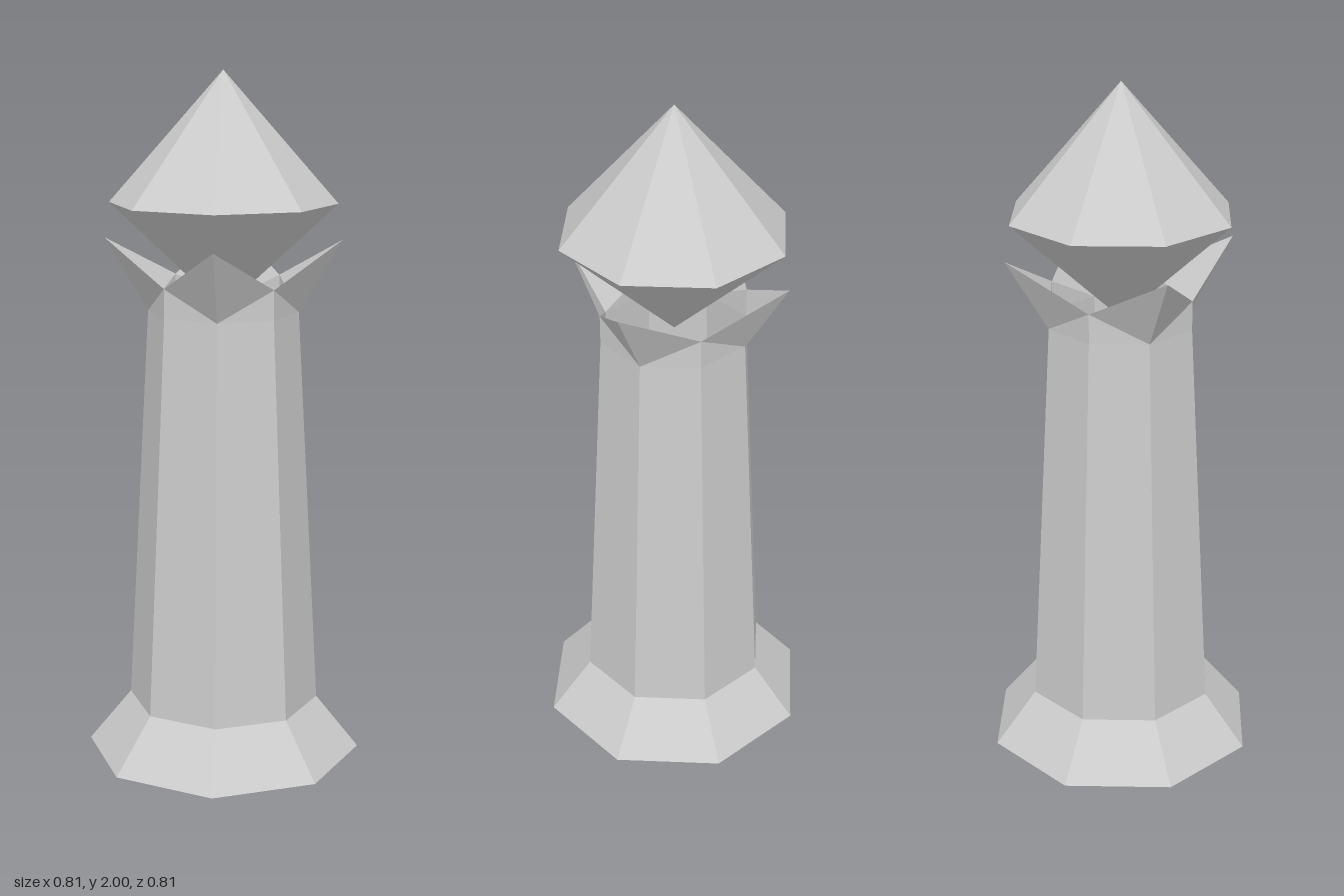
import * as THREE from 'three';

const SIDES = 8;

export function createModel() {
  const group = new THREE.Group();
  const stone = new THREE.MeshStandardMaterial({ color: 0xcccccc });
  stone.name = 'greyStone';
  stone.side = THREE.DoubleSide;
  stone.flatShading = true;

  const add = (name, geometry) => {
    const mesh = new THREE.Mesh(geometry, stone);
    mesh.name = name;
    group.add(mesh);
  };

  // Open eight-sided ring between two heights, corners on the x and z axes
  const ring = (name, y0, r0, y1, r1) => {
    const g = new THREE.CylinderGeometry(r1, r0, y1 - y0, SIDES, 1, true).toNonIndexed();
    g.translate(0, (y0 + y1) / 2, 0);
    g.computeVertexNormals();
    add(name, g);
  };

  // Hollow post: flared foot and tapering shaft
  ring('foot', 0, 0.405, 0.155, 0.28);
  ring('shaft', 0.155, 0.28, 1.32, 0.217);

  // Crown: four pointed prongs flaring out on the axes, low notches between
  const corner = (i, r, y) => {
    const a = (i / SIDES) * Math.PI * 2;
    return [Math.sin(a) * r, y, Math.cos(a) * r];
  };
  const low = (i) => corner(i, 0.217, 1.32);
  const high = (i) => (i % 2 ? corner(i, 0.217, 1.405) : corner(i, 0.342, 1.53));
  const points = [];
  for (let i = 0; i < SIDES; i++) {
    const a = low(i), b = low(i + 1), c = high(i + 1), d = high(i);
    const faces = i % 2 ? [a, b, d, b, c, d] : [a, b, c, a, c, d];
    points.push(...faces.flat());
  }
  const crown = new THREE.BufferGeometry();
  crown.setAttribute('position', new THREE.Float32BufferAttribute(points, 3));
  crown.computeVertexNormals();
  add('crown', crown);

  // Faceted gem balanced in the crown
  ring('gemBottom', 1.325, 0, 1.63, 0.326);
  ring('gemTop', 1.63, 0.326, 2, 0);

  return group;
}
